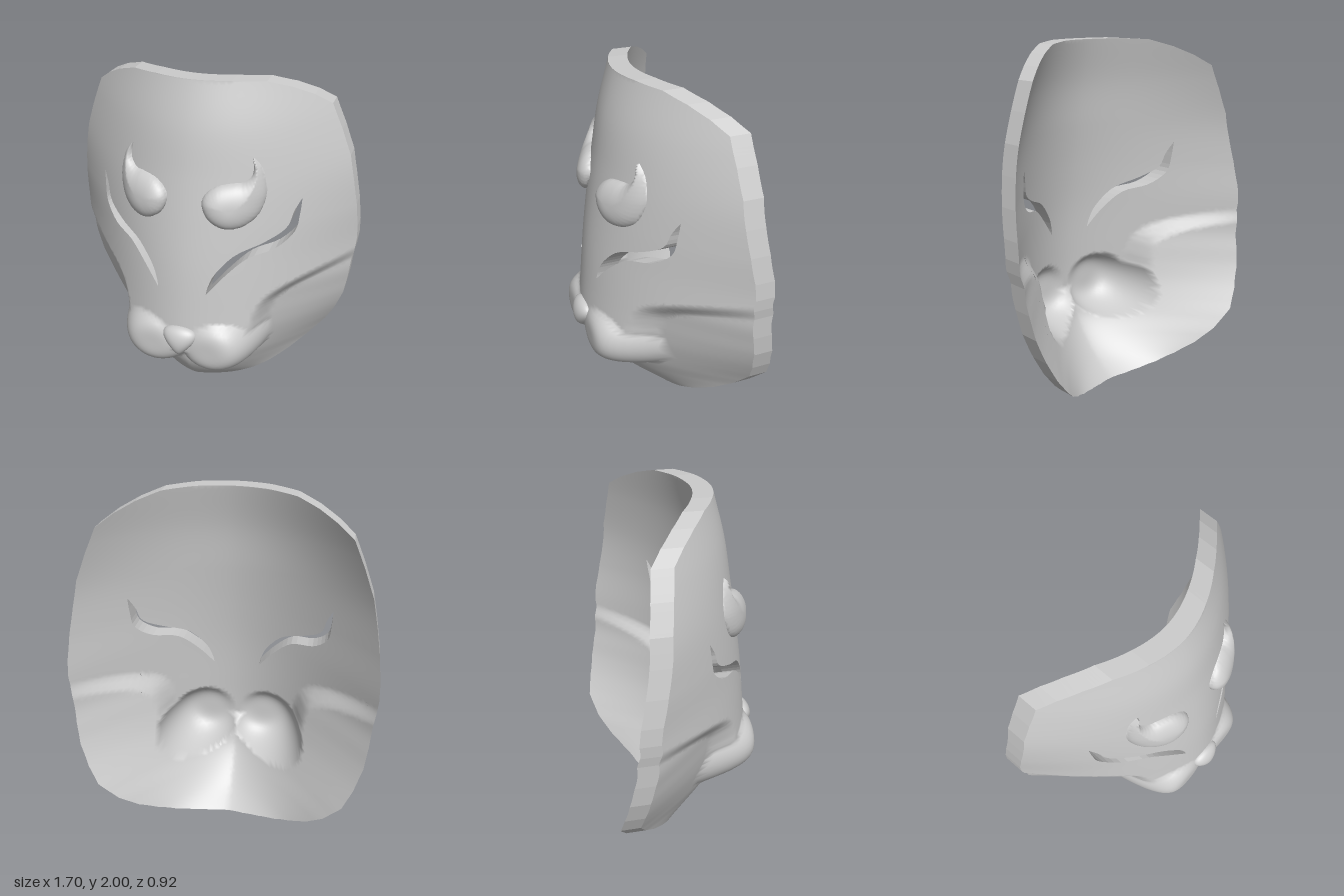
import * as THREE from 'three';

const THICKNESS = 0.11;
const material = new THREE.MeshStandardMaterial({ color: 0xcccccc });
const V = (list) => list.map(([x, y]) => new THREE.Vector2(x, y));
const smooth = (list, n) => new THREE.SplineCurve(V(list)).getPoints(n);

// Smooth curve through evenly spaced samples, as a function of height
function curve(step, values) {
  const c = new THREE.CubicInterpolant(values.map((_, i) => i * step), values, 1);
  return (y) => c.evaluate(y)[0];
}

// Distance to the edge of a polygon, positive inside
function edgeDistance(poly, x, y) {
  let best = Infinity, inside = false;
  for (let i = 0, j = poly.length - 1; i < poly.length; j = i++) {
    const a = poly[j], b = poly[i], dx = b.x - a.x, dy = b.y - a.y;
    const len = dx * dx + dy * dy || 1e-9;
    const t = THREE.MathUtils.clamp(((x - a.x) * dx + (y - a.y) * dy) / len, 0, 1);
    best = Math.min(best, Math.hypot(x - a.x - t * dx, y - a.y - t * dy));
    if ((a.y > y) !== (b.y > y) && x < a.x + (dx * (y - a.y)) / dy) inside = !inside;
  }
  return inside ? best : -best;
}

// Relief of the face: centre line depth and sideways fall-off, for brow and jaw
const browDepth = curve(0.25, [0.41, 0.41, 0.405, 0.385, 0.36, 0.325, 0.285, 0.245, 0.18]);
const browFall = curve(0.25, [0.9, 0.9, 0.88, 0.87, 0.84, 0.77, 0.74, 0.8, 0.88]);
const jawDepth = curve(0.1, [-0.01, 0.12, 0.215, 0.28, 0.31, 0.33, 0.34, 0.35, 0.36, 0.36, 0.36]);
const jawFall = curve(0.1, [0.8, 1.1, 1.2, 1.17, 1.07, 0.98, 0.91, 0.87, 0.84, 0.83, 0.83]);

// Brow and snout bridge lie above this cheek line
const browRegion = [
  ...V([[-1, 3], [-1, 0.42]]),
  ...smooth([[0.1, 0.42], [0.25, 0.44], [0.36, 0.5], [0.41, 0.58], [0.425, 0.66], [0.46, 0.75],
    [0.55, 0.81], [0.7, 0.86], [0.86, 0.9]], 32),
  ...V([[1.2, 0.95], [1.2, 3]]),
];

function face(px, y) {
  const x = Math.abs(px);
  const brow = browDepth(y) - browFall(y) * x ** 1.9;
  const jaw = jawDepth(y) - jawFall(y) * x ** 1.5;
  const s = THREE.MathUtils.smoothstep(edgeDistance(browRegion, x, y), -0.03, 0.06);
  const base = jaw + (brow - jaw) * s;
  // Rounded muzzle lobe, joined with a soft maximum
  const r2 = ((x - 0.165) / 0.25) ** 2 + ((y - 0.5) / 0.22) ** 2;
  const lobe = 0.42 - 0.25 * r2 * r2;
  const h = Math.max(0.02 - Math.abs(base - lobe), 0) / 0.02;
  return Math.max(base, lobe) + h * h * 0.005;
}

// Fills an outline with small triangles lifted to height(x, y); sign -1 faces backward
function relief(contour, holes, height, size, sign = 1) {
  const points = [...contour, ...holes.flat()], pos = [], nor = [], e = 0.004;
  const put = (p) => {
    pos.push(p.x, p.y, height(p.x, p.y));
    const n = new THREE.Vector3(
      height(p.x - e, p.y) - height(p.x + e, p.y),
      height(p.x, p.y - e) - height(p.x, p.y + e), 2 * e).normalize().multiplyScalar(sign);
    nor.push(n.x, n.y, n.z);
  };
  // Halve the longest edge until every edge is short enough
  const split = (a, b, c) => {
    const ab = a.distanceTo(b), bc = b.distanceTo(c), ca = c.distanceTo(a);
    const longest = Math.max(ab, bc, ca);
    if (longest <= size) {
      (sign > 0 ? [a, b, c] : [a, c, b]).forEach(put);
    } else if (longest === ab) {
      const m = a.clone().add(b).multiplyScalar(0.5);
      split(a, m, c);
      split(m, b, c);
    } else if (longest === bc) {
      split(b, c, a);
    } else {
      split(c, a, b);
    }
  };
  for (const [a, b, c] of THREE.ShapeUtils.triangulateShape(contour, holes)) {
    split(points[a], points[b], points[c]);
  }
  const g = new THREE.BufferGeometry();
  g.setAttribute('position', new THREE.Float32BufferAttribute(pos, 3));
  g.setAttribute('normal', new THREE.Float32BufferAttribute(nor, 3));
  return g;
}

// Wall between front and back surface along a closed outline
function rim(loop, size) {
  const pos = [];
  const wall = (a, b) => {
    if (a.distanceTo(b) > size) {
      const m = a.clone().add(b).multiplyScalar(0.5);
      wall(a, m);
      wall(m, b);
      return;
    }
    const za = face(a.x, a.y), zb = face(b.x, b.y), t = THICKNESS;
    pos.push(a.x, a.y, za, a.x, a.y, za - t, b.x, b.y, zb);
    pos.push(b.x, b.y, zb, a.x, a.y, za - t, b.x, b.y, zb - t);
  };
  loop.forEach((p, i) => wall(p, loop[(i + 1) % loop.length]));
  const g = new THREE.BufferGeometry();
  g.setAttribute('position', new THREE.Float32BufferAttribute(pos, 3));
  g.computeVertexNormals();
  return g;
}

const wind = (pts, clockwise) =>
  THREE.ShapeUtils.isClockWise(pts) === clockwise ? pts : pts.slice().reverse();
const mirror = (pts) => pts.map((p) => new THREE.Vector2(-p.x, p.y));

export function createModel() {
  const group = new THREE.Group();
  const add = (name, geometry) => {
    const mesh = new THREE.Mesh(geometry, material);
    mesh.name = name;
    group.add(mesh);
    return mesh;
  };

  // Mask outline, one half mirrored to the other
  const half = V([[0, 2], [0.2, 2], [0.36, 1.99], [0.48, 1.95], [0.58, 1.9], [0.665, 1.84], [0.725, 1.7],
    [0.78, 1.55], [0.81, 1.4], [0.835, 1.25], [0.85, 1.1], [0.852, 1], [0.845, 0.93], [0.833, 0.87],
    [0.82, 0.73], [0.8, 0.6], [0.755, 0.47], [0.7, 0.36], [0.6, 0.245], [0.5, 0.155], [0.4, 0.09],
    [0.3, 0.045], [0.2, 0.02], [0.1, 0.005], [0, 0]]);
  const outline = wind([...half, ...mirror(half.slice(1, -1)).reverse()], false);

  // Slanted eye slits
  const upperLid = smooth([[0.14, 0.85], [0.15, 0.9], [0.185, 0.98], [0.28, 1.085], [0.415, 1.145],
    [0.515, 1.21], [0.545, 1.3], [0.578, 1.37]], 24);
  const lowerLid = smooth([[0.578, 1.37], [0.573, 1.28], [0.555, 1.18], [0.47, 1.1], [0.34, 1.06],
    [0.23, 0.96], [0.14, 0.85]], 24);
  const eye = [...upperLid.slice(0, -1), ...lowerLid.slice(0, -1)];
  const eyes = [wind(eye, true), wind(mirror(eye), true)];

  // Shell
  add('maskFront', relief(outline, eyes, face, 0.03));
  add('maskBack', relief(outline, eyes, (x, y) => face(x, y) - THICKNESS, 0.03, -1));
  add('maskRim', rim(outline, 0.03));
  eyes.forEach((loop, i) => add(i ? 'rightEyeRim' : 'leftEyeRim', rim(loop, 0.03)));

  // Puffed brow spots with a curled horn
  const spot = smooth([[0.325, 1.635], [0.38, 1.57], [0.408, 1.48], [0.41, 1.4], [0.38, 1.31],
    [0.31, 1.25], [0.22, 1.24], [0.135, 1.29], [0.096, 1.37], [0.112, 1.43], [0.17, 1.475], [0.25, 1.49],
    [0.3, 1.495], [0.335, 1.53], [0.34, 1.58], [0.325, 1.635]], 48).slice(0, -1);
  for (const [name, pts] of [['leftBrowSpot', spot], ['rightBrowSpot', mirror(spot)]]) {
    const loop = wind(pts, false);
    const puff = (x, y) => {
      const t = THREE.MathUtils.clamp(edgeDistance(loop, x, y) / 0.12, 0, 1);
      return face(x, y) - 0.008 + 0.08 * Math.sqrt(1 - (1 - t) ** 2);
    };
    add(name, relief(loop, [], puff, 0.016));
  }

  // Nose: a ball narrowed toward its lower tip
  const nose = new THREE.SphereGeometry(1, 32, 24);
  const p = nose.attributes.position;
  for (let i = 0; i < p.count; i++) p.setX(i, p.getX(i) * (0.72 + 0.48 * p.getY(i)));
  nose.scale(0.118, 0.093, 0.065);
  nose.computeVertexNormals();
  add('nose', nose).position.set(0, 0.543, 0.395);

  return group;
}
